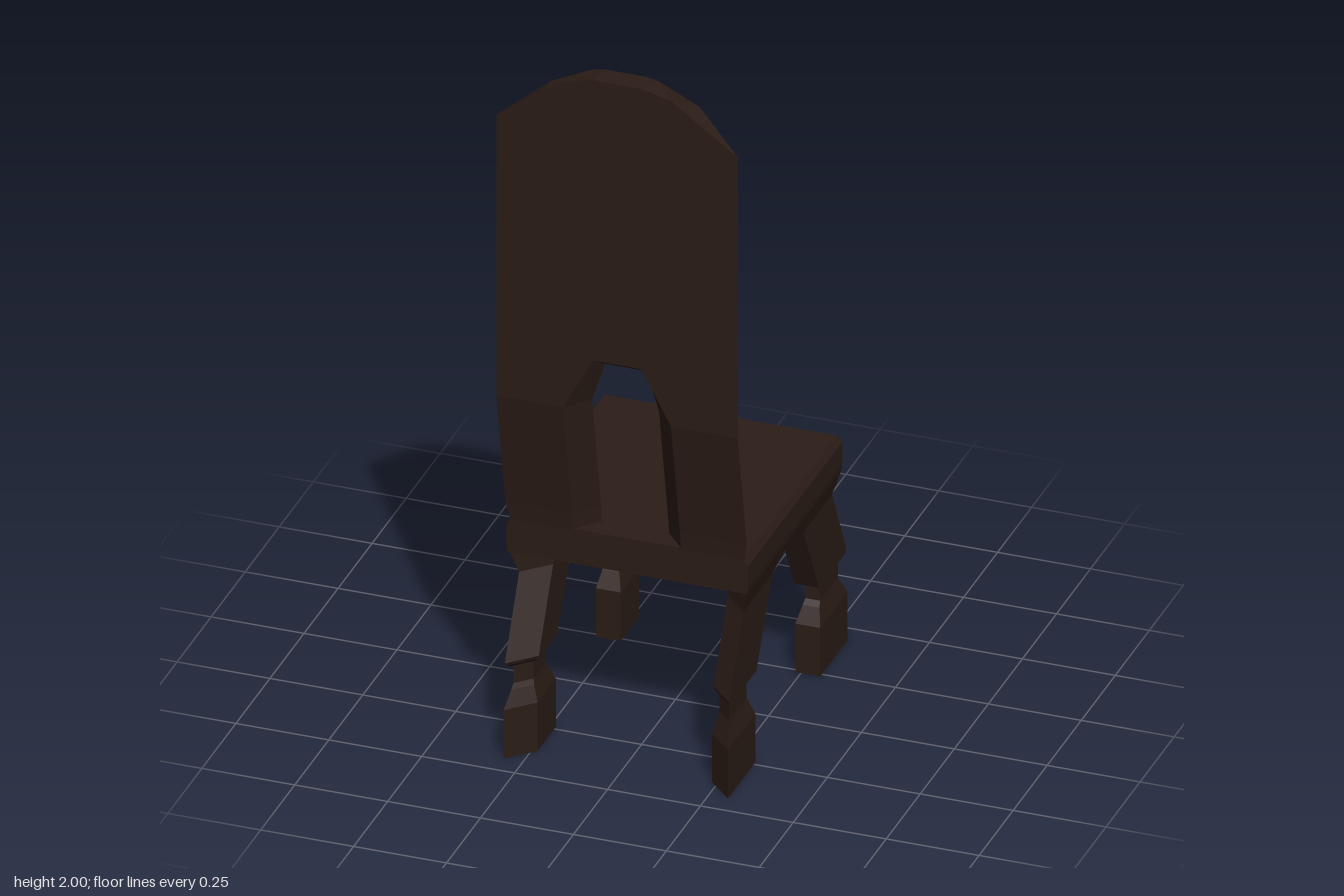
import * as THREE from 'three';

const wood = new THREE.MeshStandardMaterial({ color: 0x2b1c16, flatShading: true });

// Solid through a row of rings with equal point counts, capped at both ends
function loft(name, rings) {
  const tris = [];
  const n = rings[0].length;
  for (let r = 0; r < rings.length - 1; r++) {
    for (let i = 0; i < n; i++) {
      const j = (i + 1) % n;
      const [a, b, c, d] = [rings[r][i], rings[r][j], rings[r + 1][j], rings[r + 1][i]];
      tris.push([a, b, c], [a, c, d]);
    }
  }
  const last = rings[rings.length - 1];
  for (let i = 1; i < n - 1; i++) {
    tris.push([rings[0][0], rings[0][i + 1], rings[0][i]], [last[0], last[i], last[i + 1]]);
  }
  // Turn the faces outward whatever the ring direction or mirroring
  const v = (p) => new THREE.Vector3(...p);
  const volume = tris.reduce((s, [a, b, c]) => s + v(a).dot(v(b).cross(v(c))), 0);
  if (volume < 0) tris.forEach((t) => t.reverse());
  const geometry = new THREE.BufferGeometry();
  geometry.setAttribute('position', new THREE.Float32BufferAttribute(tris.flat(2), 3));
  geometry.computeVertexNormals();
  const mesh = new THREE.Mesh(geometry, wood);
  mesh.name = name;
  return mesh;
}

// Seat slab, eased along the top of its front and sides
function seat() {
  return loft('seat', [
    [0.55, 0.322, -0.335], [0.57, 0.325, -0.34], [0.63, 0.325, -0.34], [0.65, 0.312, -0.33],
  ].map(([y, x, z]) => [[-x, y, z], [x, y, z], [x, y, 0.355], [-x, y, 0.355]]));
}

// Splayed leg with bracket, knee, narrow neck and block foot; outer end cut at an angle
function leg(sx, sz) {
  const rows = [ // y, inner z, outer z, inner x, outer x
    [0.55, 0, 0.345, 0.21, 0.322],
    [0.48, 0.115, 0.325, 0.235, 0.302],
    [0.27, 0.225, 0.43, 0.235, 0.302],
    [0.26, 0.23, 0.425, 0.235, 0.302],
    [0.25, 0.27, 0.4, 0.25, 0.29],
    [0.2, 0.27, 0.4, 0.25, 0.29],
    [0.185, 0.26, 0.41, 0.247, 0.292],
    [0.14, 0.238, 0.44, 0.235, 0.302],
    [0, 0.238, 0.44, 0.235, 0.302],
  ];
  const name = (sz > 0 ? 'back' : 'front') + (sx > 0 ? 'Left' : 'Right') + 'Leg';
  return loft(name, rows.map(([y, zi, zo, xi, xo]) => {
    const cut = xo - xi;
    return [[xi, zi], [xo, zi], [xo, zo], [xi, zo - cut]].map(([x, z]) => [sx * x, y, sz * z]);
  }));
}

// Leaning post beside the opening, thinning to a sharp outer edge
function post(sx) {
  return loft(sx > 0 ? 'leftBackPost' : 'rightBackPost', [
    [0.645, 0.075, 0.315], [0.7, 0.066, 0.325], [1.04, 0, 0.325],
  ].map(([y, lean, xo]) => [[0.145, 0.43], [xo, 0.43], [0.2, 0.367], [0.09, 0.367]]
    .map(([x, z]) => [sx * x, y, z - lean])));
}

// Upright panel with arched top, lofted sideways over splayed opening edges
function backPanel() {
  const half = [ // rear x, rear bottom, rear top, front x, front bottom, front top, front z
    [0.065, 1.19, 2, 0.055, 1.15, 2, 0.367],
    [0.145, 1.04, 1.98, 0.09, 1.04, 1.993, 0.367],
    [0.2, 1.04, 1.94, 0.2, 1.04, 1.94, 0.367],
    [0.325, 1.04, 1.85, 0.325, 1.04, 1.85, 0.429],
  ];
  const ring = (s) => ([xr, rb, rt, xf, fb, ft, zf]) =>
    [[s * xr, rb, 0.43], [s * xr, rt, 0.43], [s * xf, ft, zf], [s * xf, fb, zf]];
  return loft('backPanel', [...half.map(ring(-1)).reverse(), ...half.map(ring(1))]);
}

export function createModel() {
  const chair = new THREE.Group();
  chair.name = 'chair';
  chair.add(seat(), backPanel());
  for (const sx of [-1, 1]) {
    chair.add(post(sx));
    for (const sz of [-1, 1]) chair.add(leg(sx, sz));
  }
  return chair;
}
